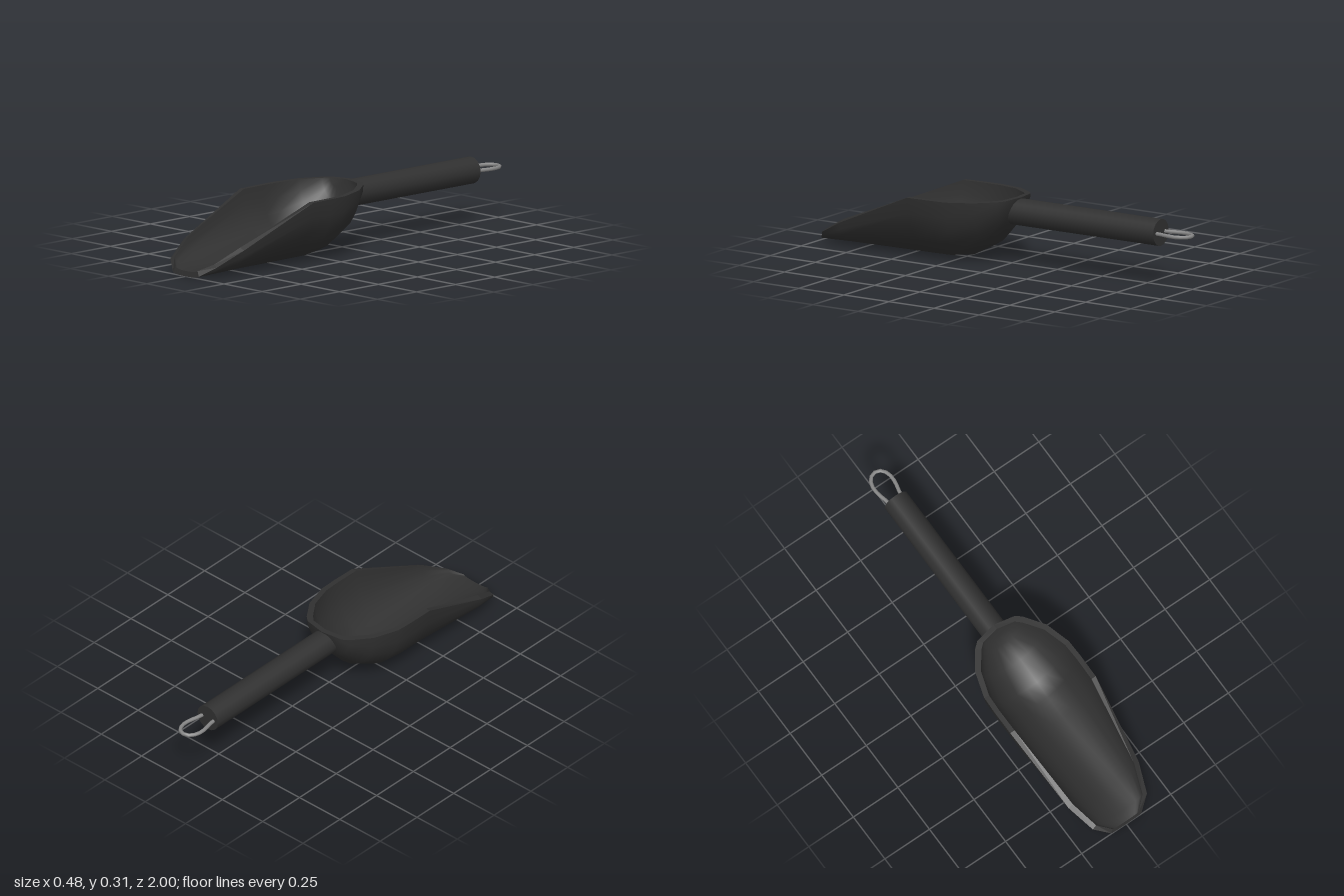
import * as THREE from 'three';
import { mergeVertices } from 'three/addons/utils/BufferGeometryUtils.js';

const ACROSS = 12;

// Bowl stations from rear to front: z, half width, bottom height, rim height
const OUTER = [
  [-0.05, 0, 0.315, 0.315], [-0.03, 0.106, 0.25, 0.312], [-0.005, 0.135, 0.18, 0.31],
  [0.085, 0.2, 0.08, 0.306], [0.21, 0.238, 0.016, 0.301], [0.3, 0.241, 0.003, 0.3],
  [0.42, 0.24, 0.002, 0.298], [0.82, 0.197, 0.002, 0.125], [0.95, 0.152, 0.002, 0.057],
  [1, 0.085, 0.002, 0.012],
];
const INNER = [
  [-0.025, 0, 0.315, 0.315], [-0.008, 0.088, 0.265, 0.312], [0.016, 0.115, 0.2, 0.31],
  [0.1, 0.177, 0.105, 0.306], [0.215, 0.213, 0.044, 0.301], [0.3, 0.217, 0.031, 0.3],
  [0.42, 0.216, 0.03, 0.299], [0.82, 0.172, 0.03, 0.136], [0.945, 0.13, 0.03, 0.068],
  [0.995, 0.072, 0.026, 0.036],
];

// Half-ellipse cross-section at every station
function makeRows(stations) {
  return stations.map(([z, w, bottom, rim]) => {
    const row = [];
    for (let j = 0; j <= ACROSS; j++) {
      const a = (j / ACROSS - 0.5) * Math.PI;
      row.push([w * Math.sin(a), bottom + (rim - bottom) * (1 - Math.cos(a)), z]);
    }
    return row;
  });
}

function fromQuads(quads, smooth) {
  const pos = [];
  for (const [a, b, c, d] of quads) pos.push(...a, ...b, ...c, ...a, ...c, ...d);
  let geo = new THREE.BufferGeometry();
  geo.setAttribute('position', new THREE.Float32BufferAttribute(pos, 3));
  if (smooth) geo = mergeVertices(geo, 1e-5);
  geo.computeVertexNormals();
  return geo;
}

function skin(rows, outward) {
  const quads = [];
  for (let i = 0; i < rows.length - 1; i++) {
    for (let j = 0; j < ACROSS; j++) {
      const q = [rows[i][j], rows[i + 1][j], rows[i + 1][j + 1], rows[i][j + 1]];
      quads.push(outward ? q.reverse() : q);
    }
  }
  return fromQuads(quads, true);
}

// Edge running up the left side, round the rear, down the right and across the lip
function edgeLoop(rows) {
  const left = rows.map((r) => r[0]).reverse();
  const right = rows.map((r) => r[ACROSS]);
  const lip = rows[rows.length - 1].slice().reverse();
  return [...left, ...right.slice(1), ...lip.slice(1)];
}

export function createModel() {
  const model = new THREE.Group();
  const black = new THREE.MeshStandardMaterial({ color: 0x303030 });
  black.name = 'blackPlastic';
  const steel = new THREE.MeshStandardMaterial({ color: 0x868686 });
  steel.name = 'steel';
  const add = (name, geo, mat, parent = model) => {
    const mesh = new THREE.Mesh(geo, mat);
    mesh.name = name;
    parent.add(mesh);
    return mesh;
  };

  // Scoop bowl: outer skin, inner skin and the flat edge joining them
  const bowl = new THREE.Group();
  bowl.name = 'bowl';
  model.add(bowl);
  const outer = makeRows(OUTER);
  const inner = makeRows(INNER);
  add('bowlOutside', skin(outer, true), black, bowl);
  add('bowlInside', skin(inner, false), black, bowl);
  const o = edgeLoop(outer);
  const n = edgeLoop(inner);
  const rim = [];
  for (let k = 0; k < o.length - 1; k++) rim.push([o[k], n[k], n[k + 1], o[k + 1]]);
  add('bowlRim', fromQuads(rim, false), black, bowl);

  // Round handle, its front end slanted to sit within the bowl's rear wall
  const handleY = 0.247;
  const handleGeo = new THREE.CylinderGeometry(0.063, 0.063, 0.8, 16);
  handleGeo.rotateX(Math.PI / 2);
  const p = handleGeo.attributes.position;
  for (let i = 0; i < p.count; i++) {
    p.setZ(i, p.getZ(i) > 0 ? -0.012 - p.getY(i) * 0.35 : -0.825);
  }
  add('handle', handleGeo, black).position.y = handleY;

  // Wire hanging loop
  const half = [[0.034, -0.8], [0.037, -0.845], [0.049, -0.9], [0.049, -0.94], [0.032, -0.978]];
  const path = [
    ...half.map(([x, z]) => new THREE.Vector3(x, 0, z)),
    new THREE.Vector3(0, 0, -0.991),
    ...half.slice().reverse().map(([x, z]) => new THREE.Vector3(-x, 0, z)),
  ];
  const loopGeo = new THREE.TubeGeometry(new THREE.CatmullRomCurve3(path), 16, 0.009, 8);
  add('hangingLoop', loopGeo, steel).position.y = handleY;

  return model;
}
